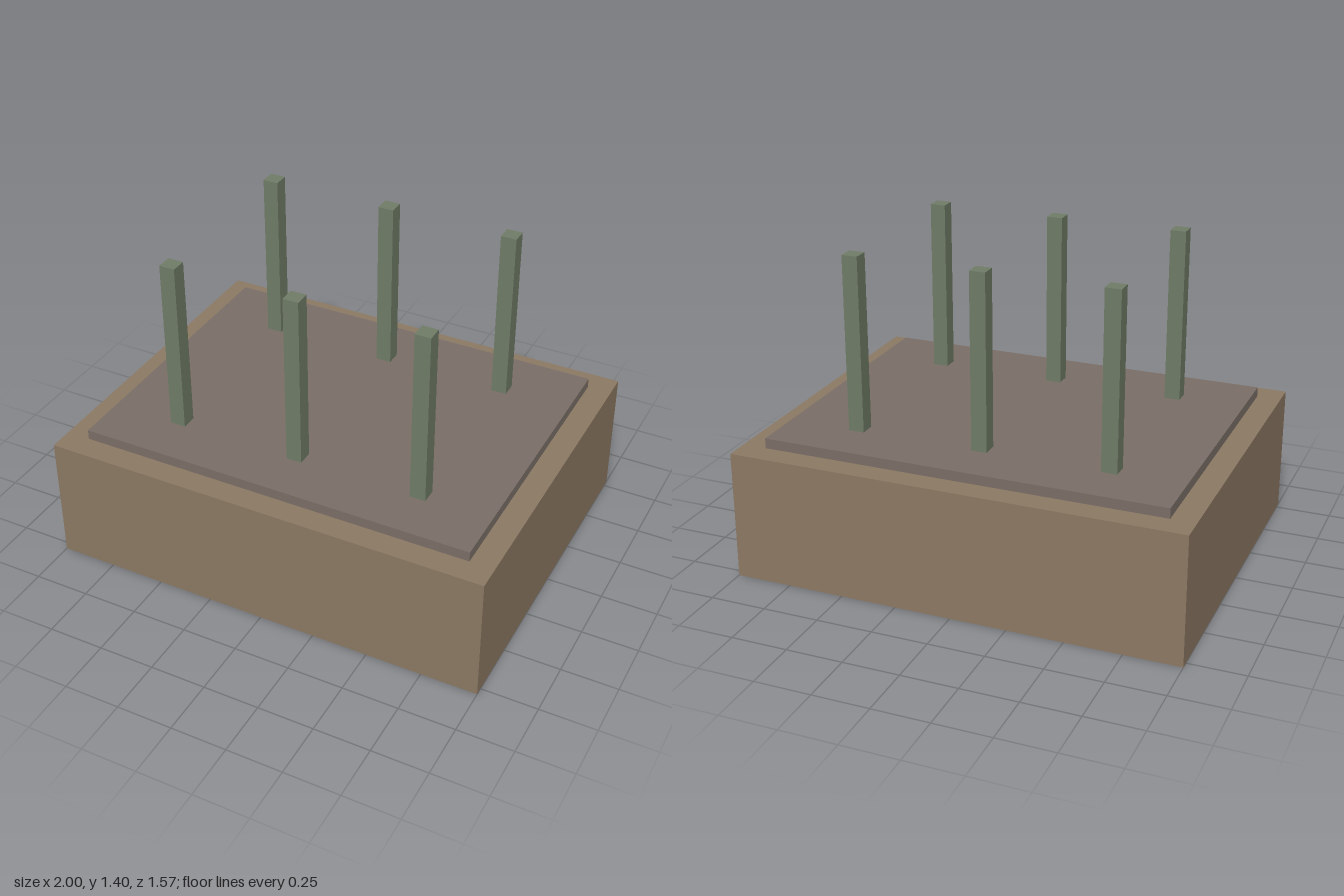
import * as THREE from 'three';

const BASE_TOP = 0.575;
const SLAB_TOP = 0.62;
const POST_TOP = 1.4;

// Box given by its footprint and its bottom and top heights
function block(name, width, depth, bottom, top, color, x = 0, z = 0) {
  const mesh = new THREE.Mesh(
    new THREE.BoxGeometry(width, top - bottom, depth),
    new THREE.MeshStandardMaterial({ color })
  );
  mesh.name = name;
  mesh.position.set(x, (bottom + top) / 2, z);
  return mesh;
}

export function createModel() {
  const model = new THREE.Group();
  model.name = 'postedPlatform';

  // Heavy base with a thin inset slab on top
  model.add(block('base', 2, 1.57, 0, BASE_TOP, 0x8b7862));
  model.add(block('topSlab', 1.785, 1.355, BASE_TOP, SLAB_TOP, 0x7a6e66));

  // Two rows of three square posts
  const posts = new THREE.Group();
  posts.name = 'posts';
  for (const z of [0.43, -0.43]) {
    for (const x of [-0.57, 0, 0.57]) {
      posts.add(block('post', 0.07, 0.07, SLAB_TOP, POST_TOP, 0x6f7b66, x, z));
    }
  }
  model.add(posts);

  return model;
}
